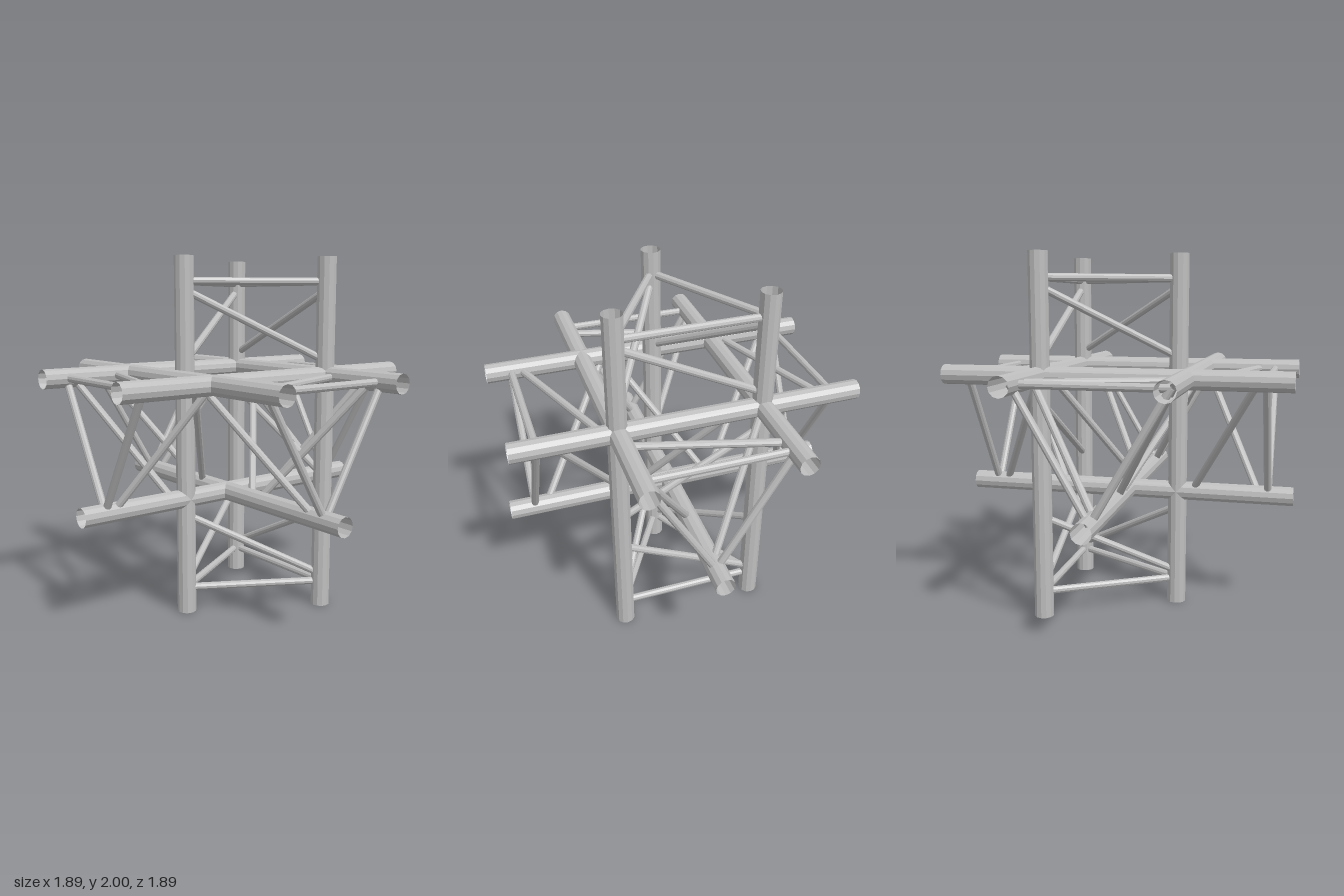
import * as THREE from 'three';

const UP = new THREE.Vector3(0, 1, 0);
const CHORD_R = 0.054, BRACE_R = 0.021;
const END = 0.945, RUNG = 0.805;       // half length and rung offset of the horizontal trusses
const W = 0.395, TOP = 1.345, LOW = 0.665;

export function createModel() {
  const model = new THREE.Group();
  model.name = 'trussJunction';
  const aluminium = new THREE.MeshStandardMaterial({ color: 0xbebebe, side: THREE.DoubleSide, flatShading: true });
  aluminium.name = 'aluminium';

  // open round tube between two points
  function tube(group, name, a, b, radius, sides) {
    const from = new THREE.Vector3(...a), to = new THREE.Vector3(...b);
    const dir = to.clone().sub(from);
    const mesh = new THREE.Mesh(new THREE.CylinderGeometry(radius, radius, dir.length(), sides, 1, true), aluminium);
    mesh.quaternion.setFromUnitVectors(UP, dir.normalize());
    mesh.position.copy(from).add(to).multiplyScalar(0.5);
    mesh.name = name;
    group.add(mesh);
  }

  // triangular truss: chords map a distance along the axis to a point,
  // diagonals are [chord, distance, chord, distance]
  function truss(name, chords, ends, rungs, diagonals) {
    const group = new THREE.Group();
    group.name = name;
    for (const chord of chords) tube(group, 'chord', chord(ends[0]), chord(ends[1]), CHORD_R, 12);
    for (const t of rungs) {
      chords.forEach((chord, i) => tube(group, 'rung', chord(t), chords[(i + 1) % 3](t), BRACE_R, 10));
    }
    for (const [i, s, j, t] of diagonals) tube(group, 'diagonal', chords[i](s), chords[j](t), BRACE_R, 10);
    model.add(group);
  }

  // upright truss: back right, back left and front chords
  const upright = [];
  for (const shift of [0, -1.25]) {
    const high = 1.82 + shift, low = 1.43 + shift;
    upright.push([2, high, 1, low], [0, high, 2, low], [0, low, 1, high]);
  }
  upright.push([0, 1.21, 1, 0.775]);
  truss('uprightTruss',
    [y => [-W, y, -0.39], y => [W, y, -0.39], y => [0, y, 0.29]],
    [0, 2], [0.14, 1.865], upright);

  // side to side truss: front, back and lower chords
  truss('sidewaysTruss',
    [x => [x, TOP, W], x => [x, TOP, -W], x => [x, LOW, 0]],
    [-END, END], [-RUNG, RUNG], [
      [0, -0.735, 2, -0.27], [0, 0.27, 2, 0.735],
      [1, -0.51, 2, -0.715], [1, 0.735, 2, 0.285],
      [1, -0.745, 0, -0.46], [1, 0.46, 0, 0.755],
      [1, -0.235, 2, 0.235], [0, 0.235, 2, -0.235],
    ]);

  // front to back truss: right, left and lower chords
  truss('lengthwiseTruss',
    [z => [-W, TOP, z], z => [W, TOP, z], z => [0, LOW, z]],
    [-END, END], [-RUNG, RUNG], [
      [0, 0.765, 2, 0.375], [1, 0.4, 2, 0.755],
      [1, -0.765, 2, -0.375], [0, -0.4, 2, -0.755],
      [0, -0.735, 1, -0.515], [0, 0.495, 1, 0.725],
    ]);

  return model;
}
